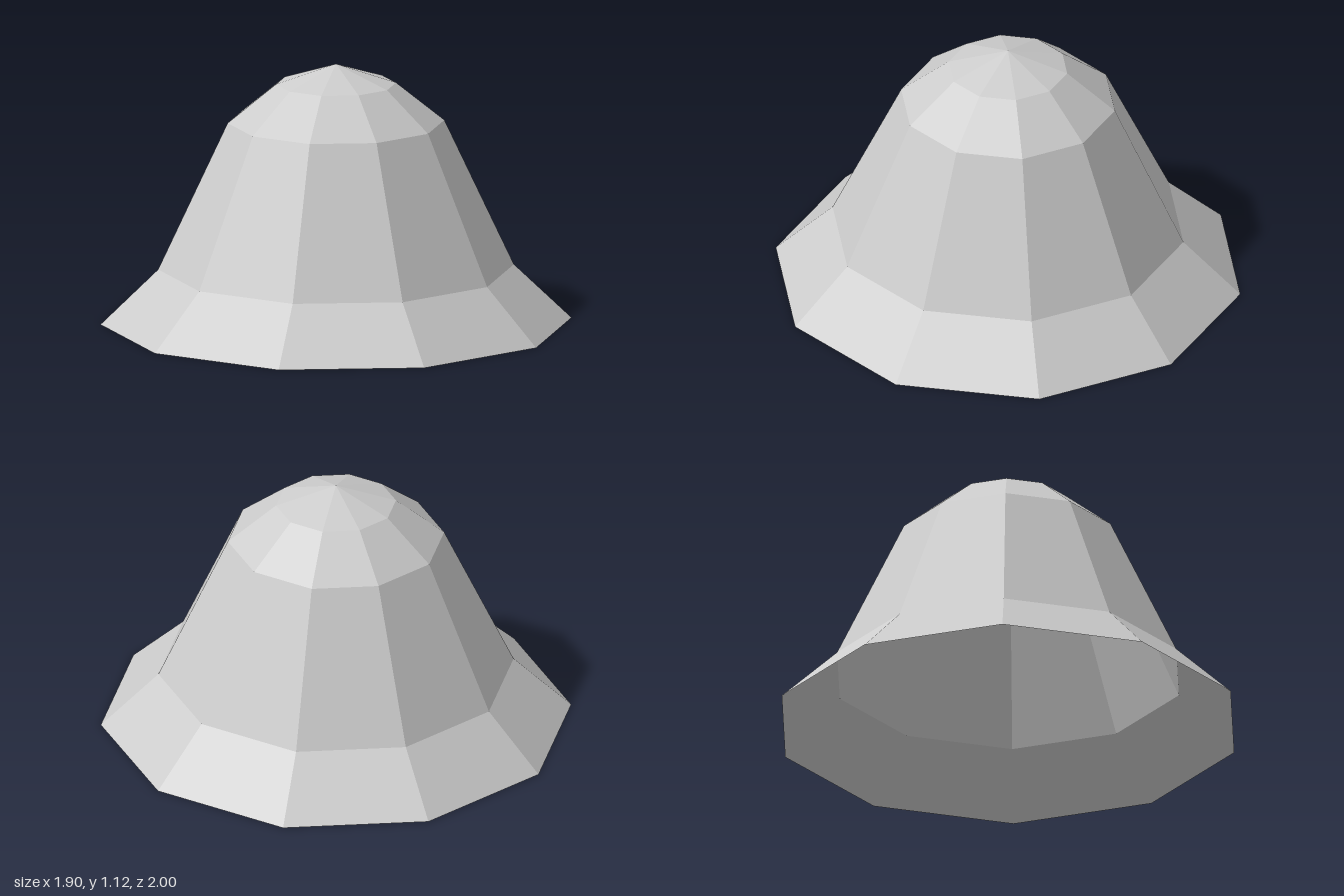
import * as THREE from 'three';

const SIDES = 10;

export function createModel() {
  const model = new THREE.Group();
  model.name = 'bellShell';

  const grey = new THREE.MeshStandardMaterial({
    color: 0xcccccc,
    flatShading: true,
    side: THREE.DoubleSide, // thin shell, open underneath
  });
  grey.name = 'light grey';

  // One faceted band of the shell, from [radius, height] points, bottom to top
  const addBand = (name, profile) => {
    const points = profile.map(([r, y]) => new THREE.Vector2(r, y));
    const mesh = new THREE.Mesh(new THREE.LatheGeometry(points, SIDES), grey);
    mesh.name = name;
    model.add(mesh);
  };

  // Flared rim, steep wall and shallow domed cap; corners point along z
  addBand('flaredBrim', [[1, 0], [0.755, 0.235]]);
  addBand('crownWall', [[0.755, 0.235], [0.46, 0.865]]);
  addBand('domedCap', [[0.46, 0.865], [0.255, 1.03], [0, 1.115]]);

  return model;
}
